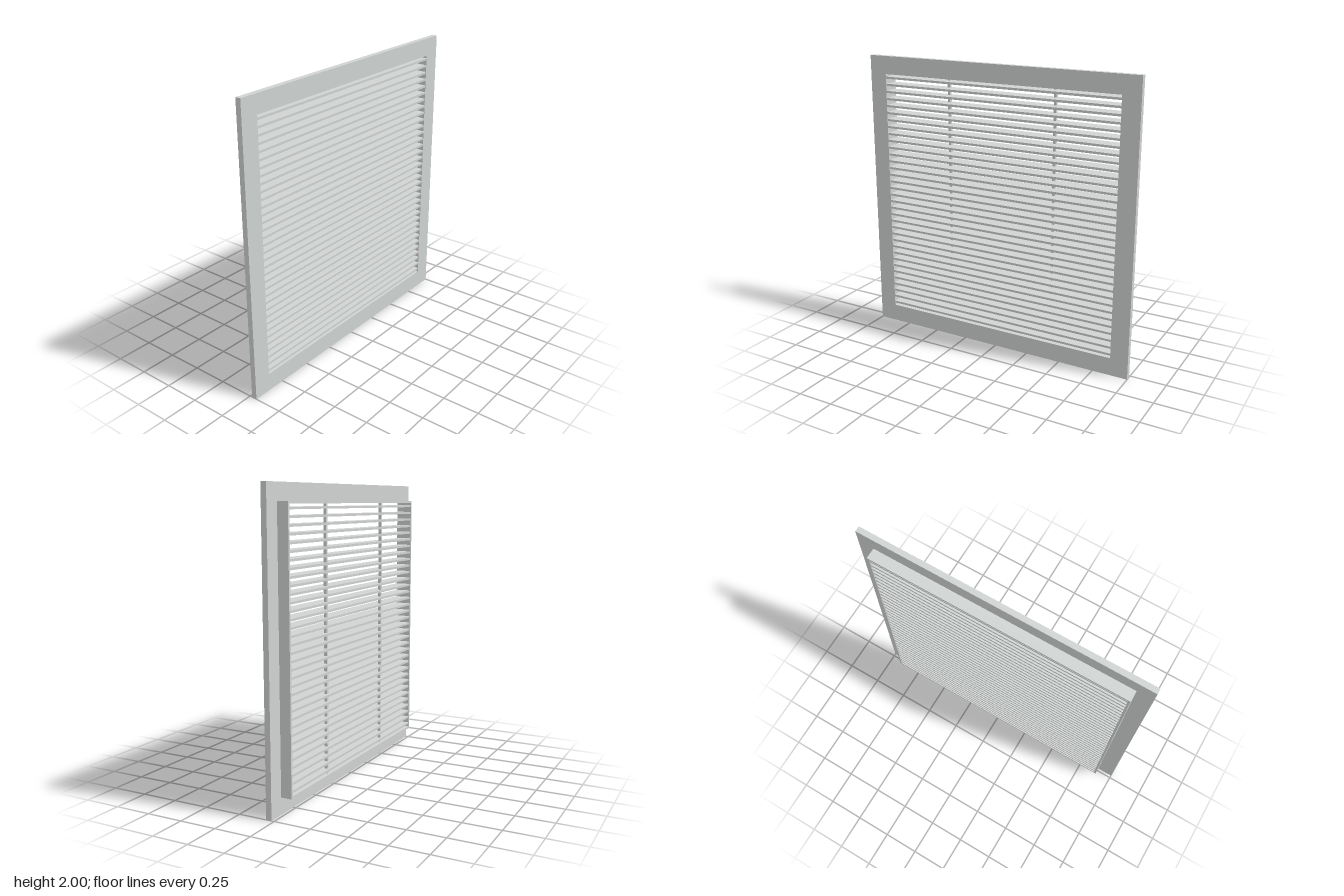
import * as THREE from 'three';

const FRONT = 0.056, BACK = -0.056, STEP = 0.018; // depth planes
const OPEN = 0.875;                               // half size of the opening

export function createModel() {
  const group = new THREE.Group();
  group.name = 'ventGrille';
  const grey = new THREE.MeshStandardMaterial({ color: 0xcfd3d1 });
  grey.name = 'lightGrey';

  const add = (name, geometry, x, y, z) => {
    const mesh = new THREE.Mesh(geometry, grey);
    mesh.name = name;
    mesh.position.set(x, y, z);
    group.add(mesh);
  };

  // Square ring around the opening, extruded along z
  const ring = (half, depth) => {
    const square = (h) => [[-h, -h], [h, -h], [h, h], [-h, h]].map(([x, y]) => new THREE.Vector2(x, y));
    const shape = new THREE.Shape(square(half));
    shape.holes.push(new THREE.Path(square(OPEN).reverse()));
    return new THREE.ExtrudeGeometry(shape, { depth, bevelEnabled: false });
  };

  // Wide front flange and the thin collar behind it
  add('frontFrame', ring(1, FRONT - STEP), 0, 1, STEP);
  add('rearCollar', ring(0.89, STEP - BACK), 0, 1, BACK);

  // Horizontal slats
  const slatFront = FRONT - 0.002, slatBack = BACK + 0.004;
  const slat = new THREE.BoxGeometry(2 * OPEN, 0.015, slatFront - slatBack);
  for (let i = 0; i < 35; i++) {
    add('slat', slat, 0, 0.15 + i * 0.05, (slatFront + slatBack) / 2);
  }

  // Vertical stiffening ribs, set in from the back edges of the slats
  const ribDepth = 0.02;
  const rib = new THREE.BoxGeometry(0.018, 2 * OPEN, ribDepth);
  for (const side of [-1, 1]) {
    add('rearRib', rib, side * 0.4, 1, BACK + 0.02 + ribDepth / 2);
  }
  return group;
}
